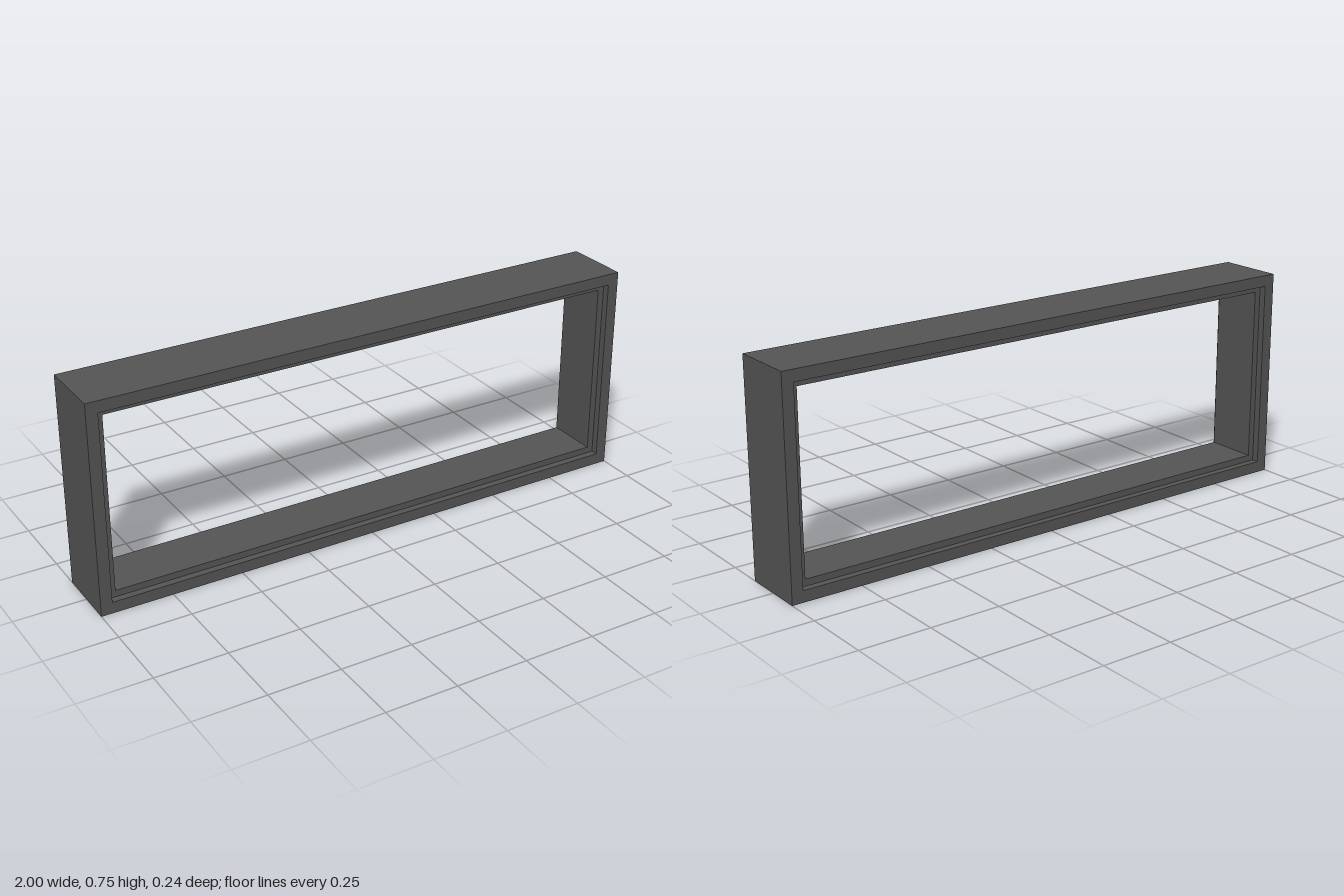
import * as THREE from 'three';

const W = 2, H = 0.745, D = 0.236;      // overall size
const RIM = 0.04, LIP = 0.063;          // border widths at the rebate and at the opening
const REBATE = 0.025;                   // rebate depth on each face

// Rectangular ring with a given border width, spanning z0 to z1
function ring(name, border, z0, z1, material) {
  const shape = new THREE.Shape();
  shape.moveTo(-W / 2, 0).lineTo(W / 2, 0).lineTo(W / 2, H).lineTo(-W / 2, H).closePath();
  const x = W / 2 - border, hole = new THREE.Path();
  hole.moveTo(-x, border).lineTo(-x, H - border).lineTo(x, H - border).lineTo(x, border).closePath();
  shape.holes.push(hole);
  const geometry = new THREE.ExtrudeGeometry(shape, { depth: z1 - z0, bevelEnabled: false });
  geometry.translate(0, 0, z0);
  const mesh = new THREE.Mesh(geometry, material);
  mesh.name = name;
  return mesh;
}

export function createModel() {
  const model = new THREE.Group();
  model.name = 'windowFrame';
  const material = new THREE.MeshStandardMaterial({ color: 0x555555 });
  const inner = D / 2 - REBATE;

  // Deep frame body, with a thinner rim on both faces forming the rebates
  model.add(
    ring('frameBody', LIP, -inner, inner, material),
    ring('frontRim', RIM, inner, D / 2, material),
    ring('backRim', RIM, -D / 2, -inner, material),
  );
  return model;
}
